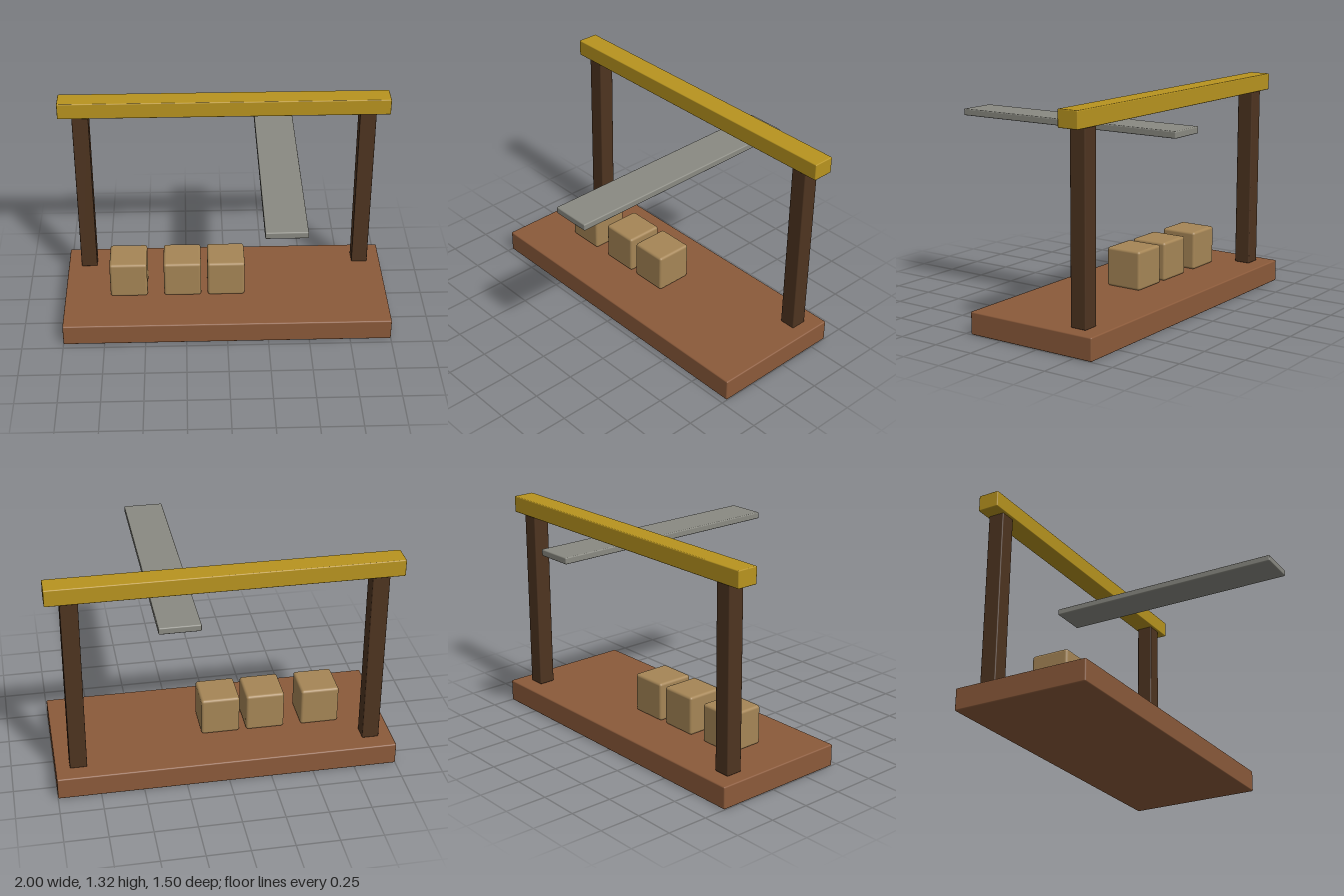
import * as THREE from 'three';
import { RoundedBoxGeometry } from 'three/addons/geometries/RoundedBoxGeometry.js';

function material(name, color) {
  const m = new THREE.MeshStandardMaterial({ color });
  m.name = name;
  return m;
}

export function createModel() {
  const model = new THREE.Group();
  model.name = 'gantryWithCrates';

  const deckWood = material('deck brown', 0x8b5a3a);
  const postWood = material('dark post brown', 0x4e3420);
  const beamPaint = material('beam mustard', 0xb8941f);
  const plankGrey = material('plank grey', 0x8a8a82);
  const crateTan = material('crate tan', 0xa68656);

  // Softly bevelled block, given by its size and centre
  function block(name, size, centre, bevel, mat) {
    const mesh = new THREE.Mesh(new RoundedBoxGeometry(...size, 2, bevel), mat);
    mesh.name = name;
    mesh.position.set(...centre);
    model.add(mesh);
  }

  // Deck
  block('deck', [2, 0.133, 0.83], [0, 0.0665, -0.2], 0.008, deckWood);

  // Posts and the beam they carry
  for (const side of [-1, 1]) {
    block(side < 0 ? 'rightPost' : 'leftPost', [0.1, 1.09, 0.1],
      [side * 0.867, 0.678, -0.467], 0.007, postWood);
  }
  block('topBeam', [2, 0.1, 0.13], [0, 1.27, -0.467], 0.006, beamPaint);

  // Plank hanging under the beam
  block('plank', [0.233, 0.04, 1.5], [0.3, 1.137, 0], 0.007, plankGrey);

  // Row of crates on the deck
  [-0.603, -0.27, 0].forEach((x, i) => {
    block(`crate${i + 1}`, [0.23, 0.235, 0.23], [x, 0.25, -0.2], 0.016, crateTan);
  });

  return model;
}
